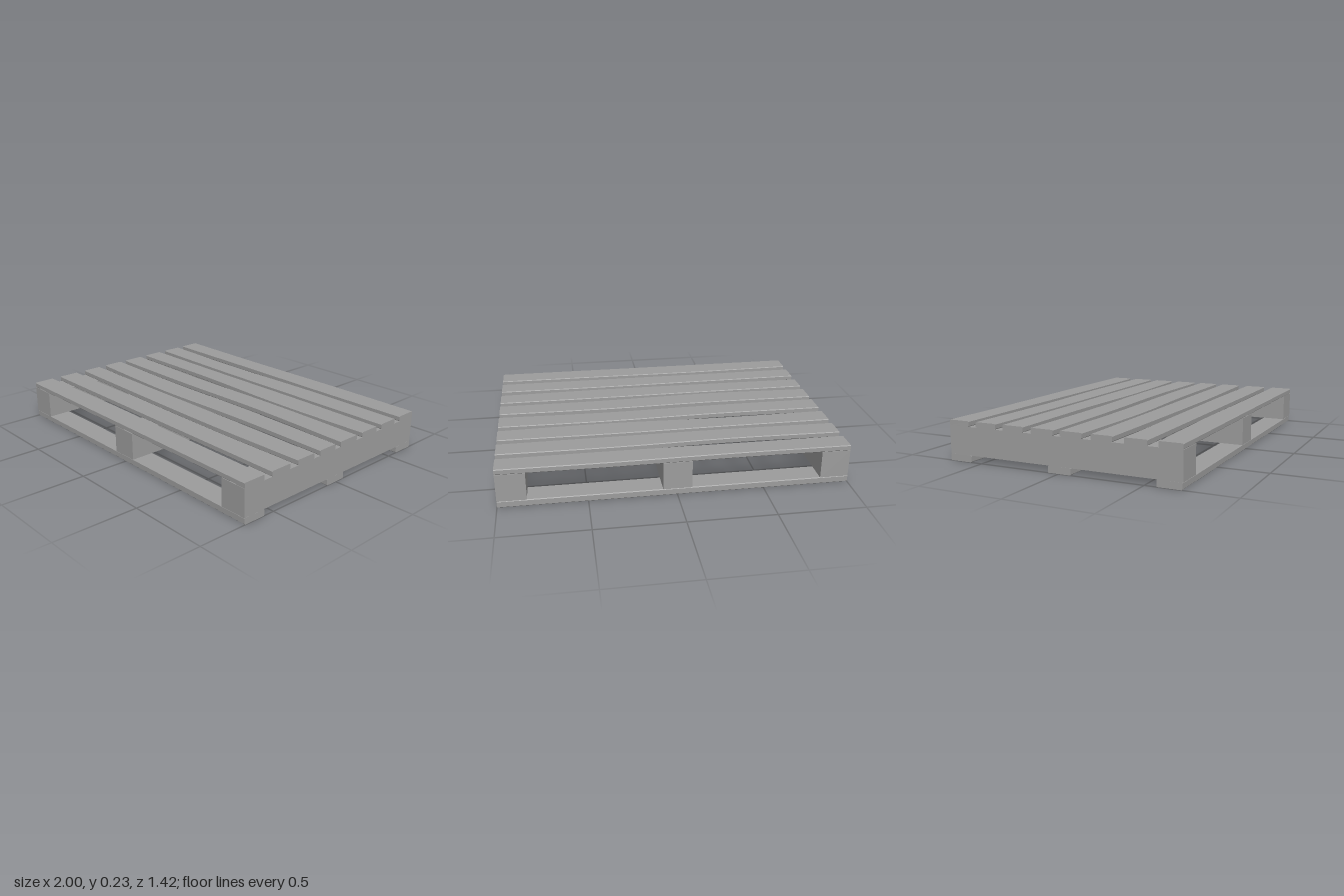
import * as THREE from 'three';
import { toCreasedNormals } from 'three/addons/utils/BufferGeometryUtils.js';

const material = new THREE.MeshStandardMaterial({ color: 0x9c9c9c });
const STATIONS = [-1, -0.33, 0.33, 1];

// Smooth edge line through the four stations along x
function edgeCurve(zs) {
  const curve = new THREE.CatmullRomCurve3(STATIONS.map((x, i) => new THREE.Vector3(x, 0, zs[i])));
  return (x) => curve.getPoint((x + 1) / 2).z;
}

// Warped plank with finely chamfered long edges, spanning two z edge lines
function plank(name, back, front, y0, y1) {
  const cu = 0.03, cy = 0.004;
  const section = new THREE.Shape([
    [-0.5 + cu, y0], [0.5 - cu, y0], [0.5, y0 + cy], [0.5, y1 - cy],
    [0.5 - cu, y1], [-0.5 + cu, y1], [-0.5, y1 - cy], [-0.5, y0 + cy],
  ].map(([u, y]) => new THREE.Vector2(u, y)));
  const geo = new THREE.ExtrudeGeometry(section, { depth: 2, steps: 12, bevelEnabled: false });
  geo.translate(0, 0, -1);
  geo.rotateY(Math.PI / 2);
  const backZ = edgeCurve(back), frontZ = edgeCurve(front);
  const p = geo.attributes.position;
  for (let i = 0; i < p.count; i++) {
    const x = p.getX(i);
    p.setZ(i, THREE.MathUtils.lerp(backZ(x), frontZ(x), p.getZ(i) + 0.5));
  }
  geo.computeVertexNormals();
  const mesh = new THREE.Mesh(toCreasedNormals(geo, 0.35), material);
  mesh.name = name;
  return mesh;
}

export function createModel() {
  const pallet = new THREE.Group();
  pallet.name = 'pallet';

  // Deck boards, back to front: back edge and front edge at each station
  const deck = [
    [[-0.71, -0.705, -0.712, -0.708], [-0.58, -0.58, -0.575, -0.578]],
    [[-0.53, -0.517, -0.532, -0.527], [-0.40, -0.39, -0.393, -0.398]],
    [[-0.35, -0.35, -0.355, -0.35], [-0.22, -0.225, -0.205, -0.22]],
    [[-0.168, -0.16, -0.175, -0.168], [-0.03, -0.03, -0.045, -0.028]],
    [[0.013, 0.022, 0.01, 0.018], [0.145, 0.167, 0.145, 0.145]],
    [[0.198, 0.198, 0.194, 0.195], [0.322, 0.332, 0.336, 0.322]],
    [[0.388, 0.383, 0.378, 0.383], [0.517, 0.517, 0.517, 0.517]],
    [[0.578, 0.565, 0.57, 0.573], [0.71, 0.709, 0.709, 0.71]],
  ];
  deck.forEach(([back, front], i) => {
    pallet.add(plank(`deckBoard${i + 1}`, back, front, 0.204, 0.236));
  });

  // Stringers running front to back
  for (const [name, x] of [['rightStringer', -0.917], ['middleStringer', -0.002], ['leftStringer', 0.917]]) {
    const stringer = new THREE.Mesh(new THREE.BoxGeometry(0.165, 0.163, 1.42), material);
    stringer.position.set(x, 0.1225, 0);
    stringer.name = name;
    pallet.add(stringer);
  }

  // Bottom boards
  for (const [name, z] of [['backBottomBoard', -0.64], ['middleBottomBoard', 0.005], ['frontBottomBoard', 0.637]]) {
    pallet.add(plank(name, Array(4).fill(z - 0.07), Array(4).fill(z + 0.07), 0.002, 0.041));
  }
  return pallet;
}
